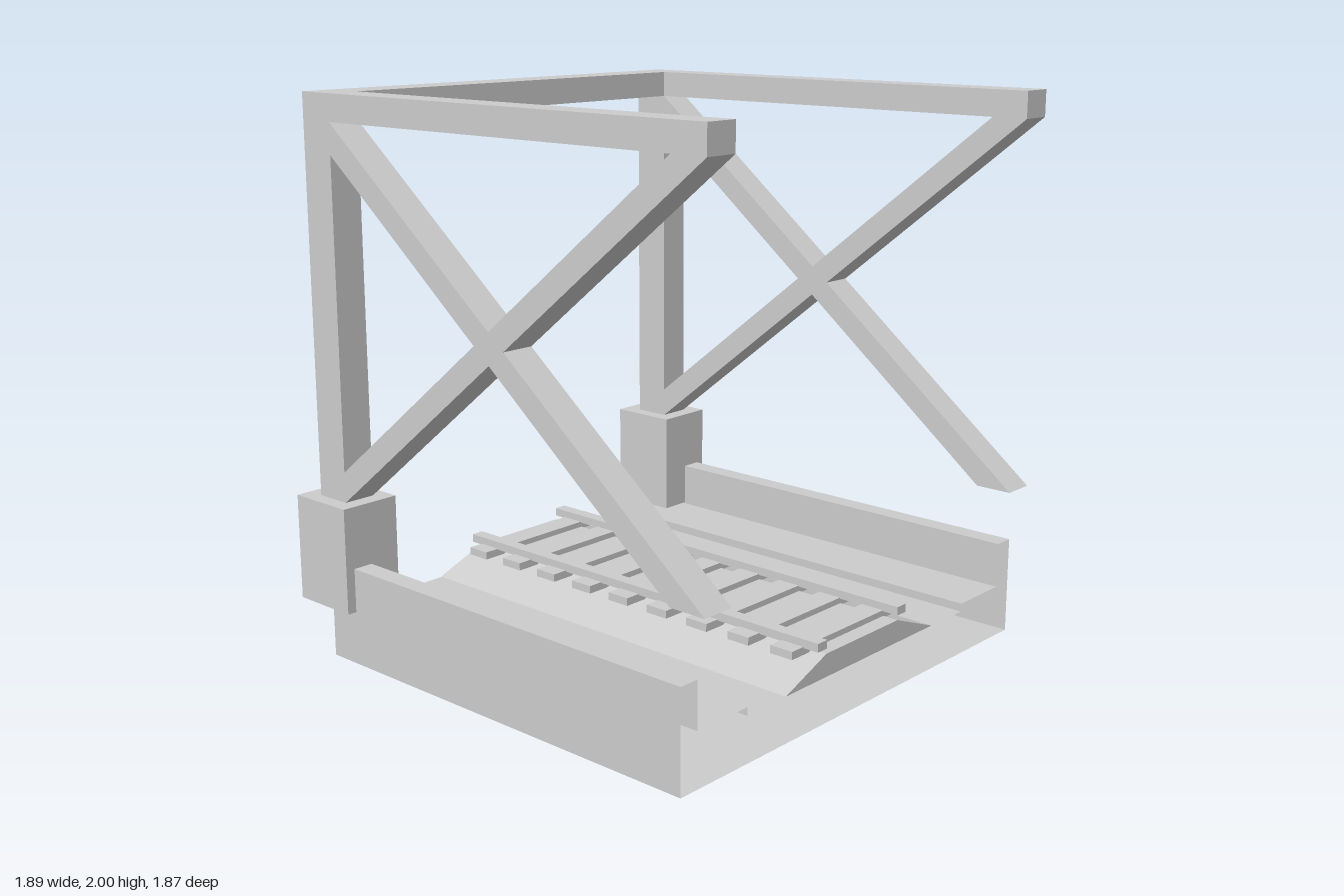
import * as THREE from 'three';

const grey = new THREE.MeshStandardMaterial({ color: 0xcccccc, flatShading: true });
const greyDouble = new THREE.MeshStandardMaterial({ color: 0xcccccc, flatShading: true, side: THREE.DoubleSide });

const BACK = -0.8, FRONT = 0.86;      // ends of the track bed
const POST_IN = 0.77, POST_OUT = 0.89; // frame timbers, across x

function add(parent, name, geometry, material = grey) {
  const mesh = new THREE.Mesh(geometry, material);
  mesh.name = name;
  parent.add(mesh);
  return mesh;
}

// Box given by its limits on each axis
function box(parent, name, [x0, x1], [y0, y1], [z0, z1]) {
  const mesh = add(parent, name, new THREE.BoxGeometry(x1 - x0, y1 - y0, z1 - z0));
  mesh.position.set((x0 + x1) / 2, (y0 + y1) / 2, (z0 + z1) / 2);
  return mesh;
}

function shapeOf(points) {
  return new THREE.Shape(points.map(([u, v]) => new THREE.Vector2(u, v)));
}

// Open-ended sheet: a closed counter-clockwise x/y profile swept along z
function sweptSheet(profile, z0, z1) {
  const pos = [];
  profile.forEach(([ax, ay], i) => {
    const [bx, by] = profile[(i + 1) % profile.length];
    pos.push(ax, ay, z1, ax, ay, z0, bx, by, z0);
    pos.push(ax, ay, z1, bx, by, z0, bx, by, z1);
  });
  const geometry = new THREE.BufferGeometry();
  geometry.setAttribute('position', new THREE.Float32BufferAttribute(pos, 3));
  geometry.computeVertexNormals();
  return geometry;
}

// Brace from a z/y outline, as thick as the posts
function braceGeometry(points) {
  const depth = POST_OUT - POST_IN;
  return new THREE.ExtrudeGeometry(shapeOf(points), { depth, bevelEnabled: false })
    .rotateY(-Math.PI / 2)
    .translate(depth / 2, 0, 0);
}

export function createModel() {
  const model = new THREE.Group();
  model.name = 'trackFrame';

  // Trough with side kerbs and a small step in its floor, open at both ends
  const half = [[0.91, 0], [0.91, 0.355], [0.835, 0.355], [0.835, 0.19], [0.6, 0.19], [0.6, 0.16]];
  const mirrored = half.map(([x, y]) => [-x, y]).reverse();
  add(model, 'trough', sweptSheet([...half, ...mirrored], BACK, FRONT), greyDouble);

  // Ballast mound
  const mound = shapeOf([[-0.41, 0.162], [0.41, 0.162], [0.2, 0.243], [-0.2, 0.243]]);
  const moundGeometry = new THREE.ExtrudeGeometry(mound, { depth: FRONT - BACK, bevelEnabled: false });
  add(model, 'ballast', moundGeometry.translate(0, 0, BACK));

  // Track
  const track = new THREE.Group();
  track.name = 'track';
  model.add(track);
  for (let i = 0; i < 9; i++) {
    const z = -0.703 + i * 0.1823;
    box(track, 'sleeper', [-0.305, 0.305], [0.236, 0.264], [z - 0.045, z + 0.045]);
  }
  for (const s of [-1, 1]) {
    const x = s * 0.222;
    box(track, 'rail', [x - 0.024, x + 0.024], [0.26, 0.29], [BACK, FRONT]);
  }

  // Side frames: footing, post, top beam and crossed braces
  for (const s of [-1, 1]) {
    const side = new THREE.Group();
    side.name = s > 0 ? 'leftFrame' : 'rightFrame';
    model.add(side);
    const across = (a, b) => (s > 0 ? [a, b] : [-b, -a]);
    box(side, 'footing', across(0.717, 0.945), [0.195, 0.58], [-0.935, -0.67]);
    box(side, 'post', across(POST_IN, POST_OUT), [0.58, 2], [-0.87, -0.73]);
    box(side, 'sideBeam', across(POST_IN, POST_OUT), [1.905, 2], [-0.73, 0.935]);
    const braces = {
      fallingBrace: [[0.935, 1.905], [0.8, 1.905], [-0.73, 0.69], [-0.73, 0.58]],
      risingBrace: [[-0.73, 1.905], [-0.73, 1.795], [0.8, 0.58], [0.935, 0.58]],
    };
    for (const [name, points] of Object.entries(braces)) {
      add(side, name, braceGeometry(points)).position.x = s * (POST_IN + POST_OUT) / 2;
    }
  }

  // Beam joining the two posts
  box(model, 'crossBeam', [-POST_IN, POST_IN], [1.905, 2], [-0.87, -0.73]);

  return model;
}
